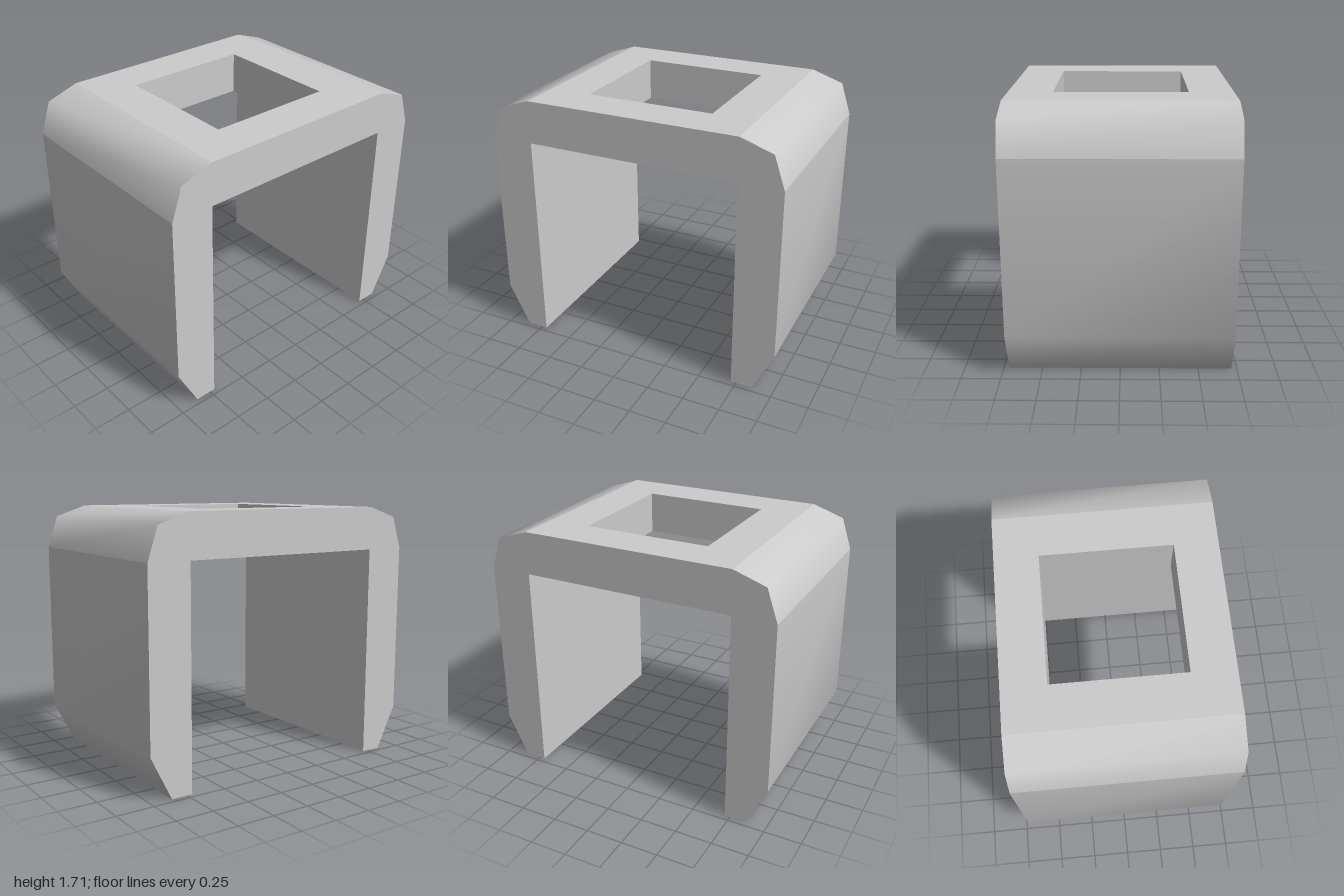
import * as THREE from 'three';
import { toCreasedNormals } from 'three/addons/utils/BufferGeometryUtils.js';

const U = 1 / 7; // the model sits on a grid of sevenths
const WIDTH = 10 * U;
const CREASE = THREE.MathUtils.degToRad(70);
const material = new THREE.MeshStandardMaterial({ color: 0xcccccc });

const polygon = (points) =>
  new THREE.Shape(points.map(([x, y]) => new THREE.Vector2(x * U, y * U)));

// Extrude a (z, y) profile across the full width, centred on x = 0
function acrossWidth(points) {
  const geometry = new THREE.ExtrudeGeometry(polygon(points), { depth: WIDTH, bevelEnabled: false });
  geometry.translate(0, 0, -WIDTH / 2).rotateY(-Math.PI / 2);
  return toCreasedNormals(geometry, CREASE);
}

const square = (half) => [[-half, -half], [half, -half], [half, half], [-half, half]];

export function createModel() {
  const model = new THREE.Group();
  const add = (name, geometry, parent = model) => {
    const mesh = new THREE.Mesh(geometry, material);
    mesh.name = name;
    parent.add(mesh);
  };

  // Top plate with a square opening
  const plate = polygon(square(5));
  plate.holes.push(polygon(square(3)));
  const plateGeometry = new THREE.ExtrudeGeometry(plate, { depth: 2 * U, bevelEnabled: false });
  plateGeometry.rotateX(-Math.PI / 2).translate(0, 10 * U, 0);
  add('topPlate', plateGeometry);

  // Wall tapered at the foot, and the bevelled corner that joins it to the plate
  const wall = acrossWidth([[5, 0], [6, 0], [7, 2], [7, 10], [5, 10]]);
  const corner = acrossWidth([[5, 10], [7, 10], [6.5, 11.5], [5, 12]]);

  // Same side at front and back
  for (const [name, turn] of [['front', 0], ['back', Math.PI]]) {
    const side = new THREE.Group();
    side.name = name + 'Side';
    side.rotation.y = turn;
    add(name + 'Wall', wall, side);
    add(name + 'Corner', corner, side);
    model.add(side);
  }
  return model;
}
